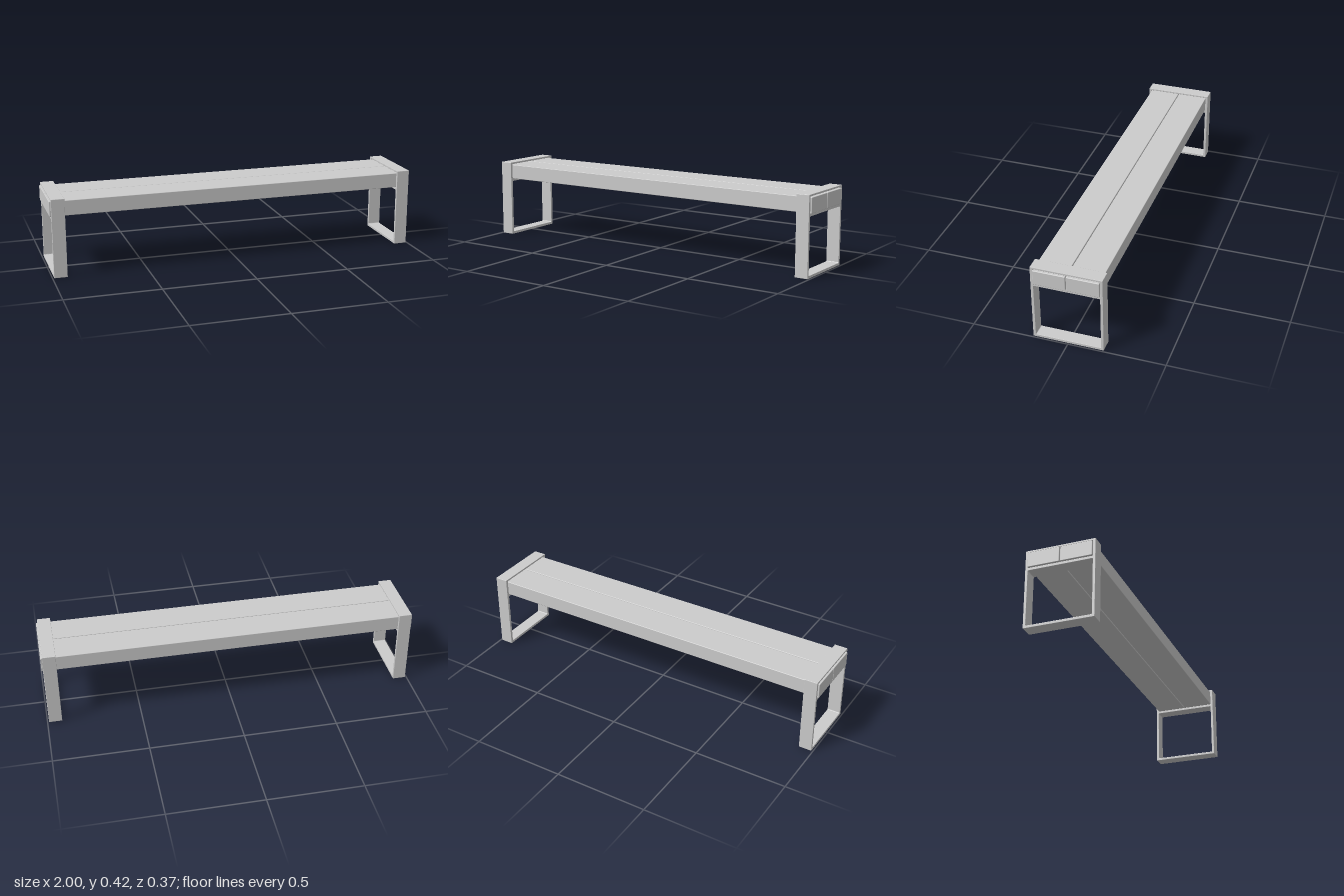
import * as THREE from 'three';
import { RoundedBoxGeometry } from 'three/addons/geometries/RoundedBoxGeometry.js';

const HEIGHT = 0.42, HALF_DEPTH = 0.183, WALL = 0.014;
const FRAME_WIDTH = 0.07, FRAME_X = 0.957, BEVEL = 0.0015;

// Rounded rectangle outline, used for the frame and its openings
function roundedRect(path, x0, y0, x1, y1, r) {
  path.moveTo(x0 + r, y0);
  path.lineTo(x1 - r, y0);
  path.quadraticCurveTo(x1, y0, x1, y0 + r);
  path.lineTo(x1, y1 - r);
  path.quadraticCurveTo(x1, y1, x1 - r, y1);
  path.lineTo(x0 + r, y1);
  path.quadraticCurveTo(x0, y1, x0, y1 - r);
  path.lineTo(x0, y0 + r);
  path.quadraticCurveTo(x0, y0, x0 + r, y0);
  return path;
}

// Flat-bar leg loop with a crossbar under the seat
function legFrameGeometry() {
  const inner = HALF_DEPTH - WALL;
  const shape = roundedRect(new THREE.Shape(), -HALF_DEPTH, 0, HALF_DEPTH, HEIGHT, 0.003);
  shape.holes.push(
    roundedRect(new THREE.Path(), -inner, WALL, inner, 0.311, 0.005),
    roundedRect(new THREE.Path(), -inner, 0.325, inner, 0.41, 0.004)
  );
  const geometry = new THREE.ExtrudeGeometry(shape, {
    depth: FRAME_WIDTH - 2 * BEVEL, curveSegments: 4,
    bevelThickness: BEVEL, bevelSize: BEVEL, bevelOffset: -BEVEL, bevelSegments: 2
  });
  geometry.translate(0, 0, BEVEL - FRAME_WIDTH / 2);
  geometry.rotateY(Math.PI / 2);
  return geometry;
}

export function createModel() {
  const group = new THREE.Group();
  group.name = 'bench';
  const material = new THREE.MeshStandardMaterial({ color: 0xcccccc });

  const add = (name, geometry, x, y, z) => {
    const mesh = new THREE.Mesh(geometry, material);
    mesh.name = name;
    mesh.position.set(x, y, z);
    group.add(mesh);
  };

  // Two leg frames, one at each end
  const frame = legFrameGeometry();
  add('leftLegFrame', frame, FRAME_X, 0, 0);
  add('rightLegFrame', frame, -FRAME_X, 0, 0);

  // Two seat beams running through the frames, with a narrow gap between
  const beam = new RoundedBoxGeometry(2, 0.08, 0.167, 3, 0.003);
  add('frontSeatBeam', beam, 0, 0.366, 0.0853);
  add('backSeatBeam', beam, 0, 0.366, -0.0853);

  return group;
}
